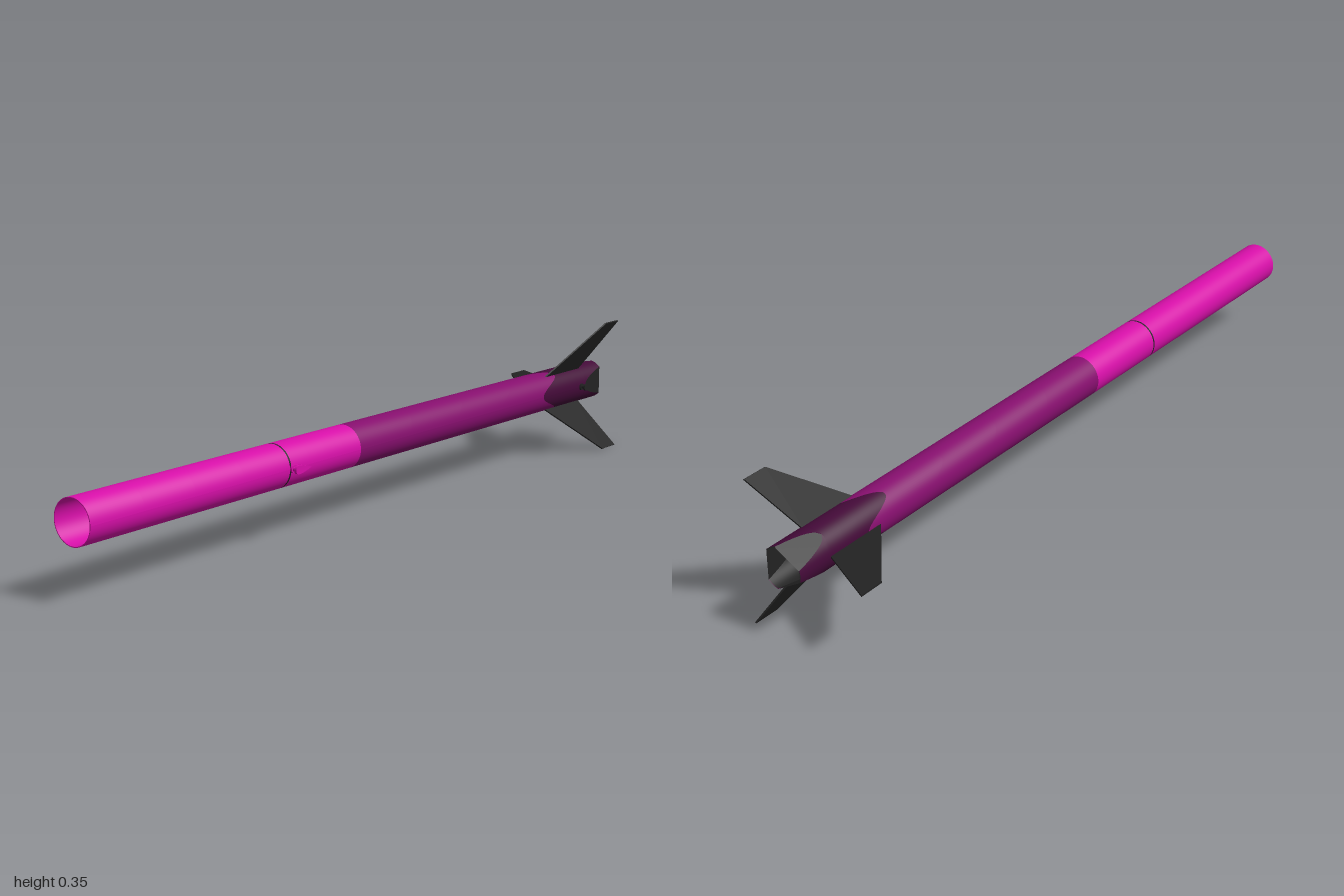
import * as THREE from 'three';

const R = 0.053;              // body radius
const AXIS = [0.05, 0.178];   // body axis in x, y
const THIRD = (Math.PI * 2) / 3;

const mat = (name, color) => {
  const m = new THREE.MeshStandardMaterial({ color, side: THREE.DoubleSide });
  m.name = name;
  return m;
};

// Grid surface from a rule f(u, v) -> [x, y, z]
function surface(f, nu, nv) {
  const pos = [], idx = [];
  for (let j = 0; j <= nv; j++)
    for (let i = 0; i <= nu; i++) pos.push(...f(i / nu, j / nv));
  for (let j = 0; j < nv; j++)
    for (let i = 0; i < nu; i++) {
      const a = j * (nu + 1) + i, b = a + 1, c = a + nu + 1, d = c + 1;
      idx.push(a, b, d, a, d, c);
    }
  const g = new THREE.BufferGeometry();
  g.setAttribute('position', new THREE.Float32BufferAttribute(pos, 3));
  g.setIndex(idx);
  g.computeVertexNormals();
  return g;
}

// Tube along z whose ends may vary with the angle
const tube = (r, back, front) => surface((u, v) => {
  const t = u * Math.PI * 2;
  return [r * Math.cos(t), r * Math.sin(t), back(t) + (front(t) - back(t)) * v];
}, 72, 4);

// Teardrop plate in the y-z plane, round nose forward, thickness along +x
function teardrop(r, tail, depth) {
  const s = new THREE.Shape();
  s.moveTo(tail, 0);
  s.quadraticCurveTo(tail * 0.4, r, 0, r);
  s.absarc(0, 0, r, Math.PI / 2, Math.PI * 1.5, false);
  s.quadraticCurveTo(tail * 0.4, -r, tail, 0);
  return new THREE.ExtrudeGeometry(s, { depth, bevelEnabled: false, curveSegments: 12 }).rotateY(Math.PI / 2);
}

export function createModel() {
  const pink = mat('brightPink', 0xd60fa8);
  const purple = mat('darkPurple', 0x860f6e);
  const plum = mat('deepPlum', 0x430a38);
  const black = mat('black', 0x222222);

  const model = new THREE.Group();
  model.name = 'rocket';
  const body = new THREE.Group();
  body.name = 'rocketBody';
  body.position.set(AXIS[0], AXIS[1], 0);
  model.add(body);
  const add = (name, geo, m, parent = body) => {
    const mesh = new THREE.Mesh(geo, m);
    mesh.name = name;
    parent.add(mesh);
    return mesh;
  };
  const at = (z) => () => z;
  const scallop = (t) => -0.735 + 0.045 * Math.cos(3 * t);

  // Body tubes: open front tube with a thin wall, coupler and painted rear
  add('frontTube', tube(R, at(0.372), at(1)), pink);
  add('frontTubeInside', tube(R - 0.002, at(0.372), at(1)), pink);
  add('frontRim', new THREE.RingGeometry(R - 0.002, R, 72).translate(0, 0, 1), pink);
  add('middleTube', tube(R, at(0.11), at(0.367)), pink);
  add('rearTube', tube(R, scallop, at(0.11)), purple);
  add('finSleeve', tube(R, at(-0.9), scallop), plum);
  add('jointRing', tube(R, at(0.367), at(0.372)), black);

  // Bulkhead with two large wells and two small ones
  const plate = new THREE.Shape().absarc(0, 0, R - 0.001, 0, Math.PI * 2, false);
  const wells = [[0, 0.024, 0.017], [0, -0.024, 0.017], [-0.027, 0, 0.008], [0.027, 0, 0.008]];
  for (const [x, y, r] of wells) {
    plate.holes.push(new THREE.Path().absarc(x, y, r, 0, Math.PI * 2, true));
    const bowl = new THREE.SphereGeometry(r, 24, 10, 0, Math.PI * 2, Math.PI / 2, Math.PI / 2);
    add('bulkheadWell', bowl.rotateX(Math.PI / 2).translate(x, y, 0.367), black);
  }
  add('bulkhead', new THREE.ExtrudeGeometry(plate, { depth: 0.005, bevelEnabled: false, curveSegments: 36 })
    .translate(0, 0, 0.367), black);

  // Tail: three sloping flats cut the round tube towards a triangle
  const END = 0.038;
  const flatDist = (v) => END + (R - END) * v;
  const halfAngle = (v) => Math.acos(Math.min(1, flatDist(v) / R));
  for (let i = 0; i < 3; i++) {
    const mid = i * THIRD;
    const flat = (k) => (u, v) => {
      const a = (u * 2 - 1) * halfAngle(v), r = k * flatDist(v) / Math.cos(a);
      return [r * Math.cos(mid + a), r * Math.sin(mid + a), -1 + 0.1 * v];
    };
    const round = (k) => (u, v) => {
      const h = halfAngle(v), t = mid + h + (THIRD - 2 * h) * u;
      return [k * R * Math.cos(t), k * R * Math.sin(t), -1 + 0.1 * v];
    };
    add('tailFlat', surface(flat(1), 12, 12), black);
    add('tailCorner', surface(round(1), 16, 12), plum);
    add('tailFlatLining', surface(flat(0.96), 12, 12), black);
    add('tailCornerLining', surface(round(0.96), 16, 12), black);
  }
  add('tailBulkhead', new THREE.CircleGeometry(R - 0.001, 48).translate(0, 0, -0.9), black);

  // Three swept fins
  const finShape = new THREE.Shape([[0.046, -0.73], [0.203, -0.92], [0.203, -0.985], [0.046, -0.9]]
    .map(([r, z]) => new THREE.Vector2(r, z)));
  const finGeo = new THREE.ExtrudeGeometry(finShape, { depth: 0.004, bevelEnabled: false })
    .rotateX(Math.PI / 2).translate(0, 0.002, 0);
  for (let i = 0; i < 3; i++) add('fin', finGeo, black).rotation.z = Math.PI / 3 + i * THIRD;

  // Front rail guide: two teardrop flanges on a slim stem
  const guide = new THREE.Group();
  guide.name = 'frontRailGuide';
  guide.position.set(R - 0.001, 0, 0.363);
  body.add(guide);
  add('guideBase', teardrop(0.009, 0.045, 0.006), pink, guide);
  add('guideStem', teardrop(0.005, 0.035, 0.014), pink, guide);
  add('guideCap', teardrop(0.01, 0.045, 0.006).translate(0.014, 0, 0), pink, guide);

  // Rear rail button
  const button = new THREE.Group();
  button.name = 'rearRailButton';
  button.position.set(R - 0.001, 0, -0.88);
  body.add(button);
  for (const [r, len, x] of [[0.009, 0.005, 0.0025], [0.005, 0.01, 0.009], [0.009, 0.005, 0.0155]])
    add('buttonPart', new THREE.CylinderGeometry(r, r, len, 20).rotateZ(Math.PI / 2).translate(x, 0, 0), black, button);

  return model;
}
